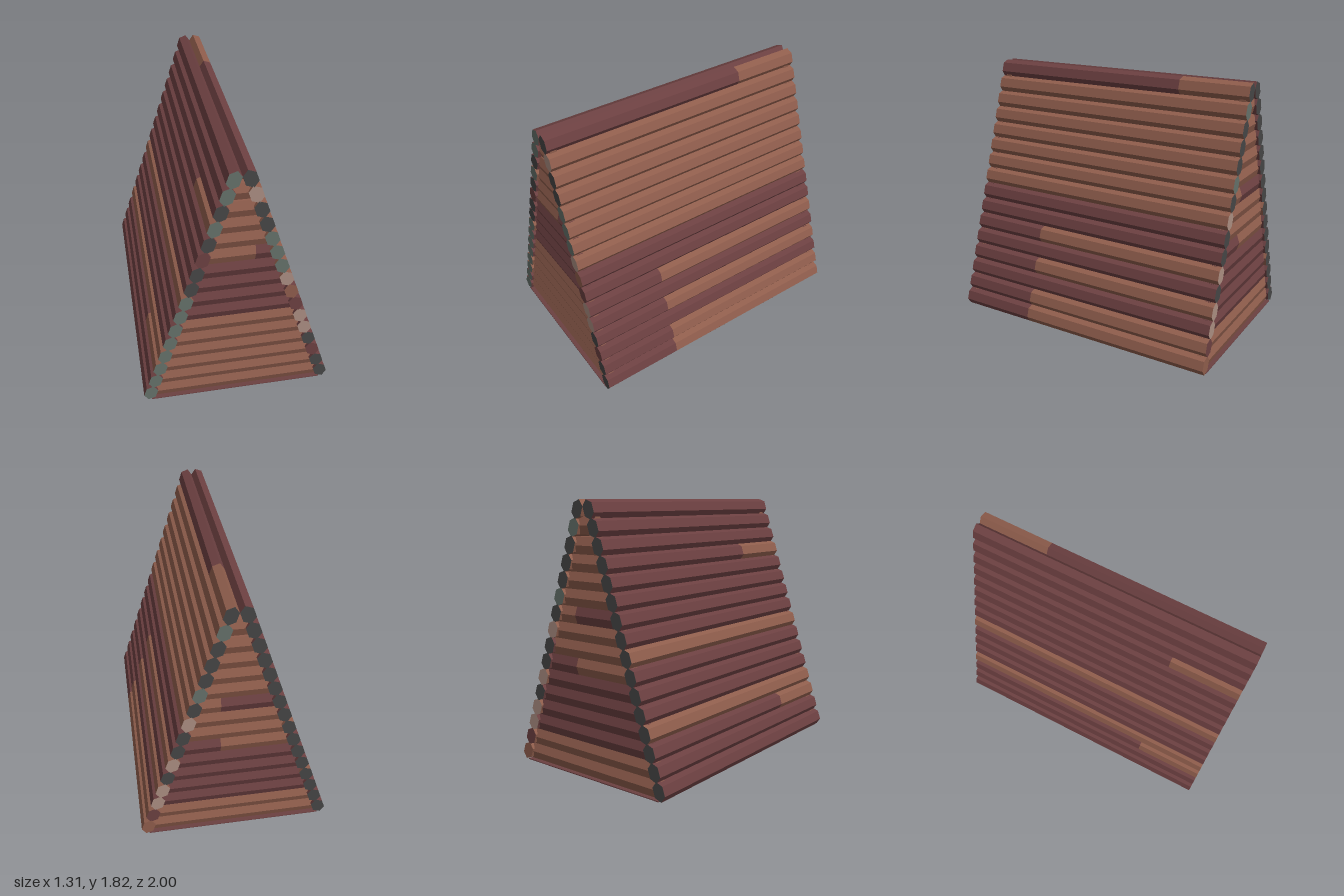
import * as THREE from 'three';

const mat = (name, color) => {
  const m = new THREE.MeshStandardMaterial({ color, flatShading: true });
  m.name = name;
  return m;
};

export function createModel() {
  const brown = mat('brown bark', 0x8f5d4c);
  const maroon = mat('maroon bark', 0x6c4041);
  const green = mat('grey green log end', 0x65716a);
  const charcoal = mat('charcoal log end', 0x464646);
  const pink = mat('pale log end', 0xab8e82);
  const palette = { b: brown, m: maroon, g: green, c: charcoal, p: pink };

  const ROWS = 16, PITCH = 0.113, Y0 = 0.065, X0 = 0.603, STEP = 0.0369;
  const TILT = Math.atan2(STEP, PITCH);
  const model = new THREE.Group();
  model.name = 'logTent';

  // One straight piece of six-sided roof log between two z positions
  function roofLog(side, row, zBack, zFront, bark, frontEnd, backEnd) {
    const geo = new THREE.CylinderGeometry(1, 1, zFront - zBack, 6);
    geo.rotateX(Math.PI / 2);
    geo.scale(0.0415 / 0.866, 0.065, 1);
    geo.rotateZ(side * TILT);
    const mesh = new THREE.Mesh(geo, [bark, frontEnd, backEnd]);
    mesh.position.set(side * (X0 - STEP * row), Y0 + PITCH * row, (zFront + zBack) / 2);
    mesh.name = side > 0 ? 'leftRoofLog' : 'rightRoofLog';
    model.add(mesh);
  }

  // One letter per row, bottom to top: bark at the front and back, then end colours
  const roofs = [
    {
      side: 1, front: 'mmmmmmmmbbbbbbbm', back: 'bbmbmbmmbbbbbbbb',
      frontEnds: 'ccmcppmbpgggccpc', backEnds: 'bmppcpccpcgcccgc',
      split: (row) => (row === 15 ? -0.5 : 0.42),
    },
    {
      side: -1, front: 'mmbbmmmbmmmmbmmm', back: 'mmmbmmmbmmmmmmmm',
      frontEnds: 'ggggggggccmcgcgg', backEnds: 'cccccccccccccccc',
      split: () => 0.5,
    },
  ];
  for (const r of roofs) {
    for (let i = 0; i < ROWS; i++) {
      const f = palette[r.front[i]], b = palette[r.back[i]];
      const fe = palette[r.frontEnds[i]], be = palette[r.backEnds[i]];
      if (f === b) {
        roofLog(r.side, i, -1, 1, f, fe, be);
      } else {
        const z = r.split(i);
        roofLog(r.side, i, z, 1, f, fe, f);
        roofLog(r.side, i, -1, z, b, b, be);
      }
    }
  }

  // Horizontal end-wall log between two x positions
  function wallLog(name, y, z, xa, xb, bark) {
    const geo = new THREE.CylinderGeometry(1, 1, xb - xa, 6);
    geo.rotateZ(-Math.PI / 2);
    geo.scale(1, 0.0575 / 0.866, 0.04);
    const mesh = new THREE.Mesh(geo, bark);
    mesh.position.set((xa + xb) / 2, y, z);
    mesh.name = name;
    model.add(mesh);
  }

  // Each row: colour on the -x part, colour on the +x part, changing at x = split
  const walls = [
    { name: 'frontWallLog', z: 0.95, neg: 'bbbbbbmmmmbbbbb', pos: 'bbbbbbmmmmmbbbb', split: 0.1 },
    { name: 'backWallLog', z: -0.95, neg: 'bbmmmmbbbmbbbbb', pos: 'bbmmmmmbbbbbbbb', split: 0.1 },
  ];
  for (const w of walls) {
    for (let i = 0; i < ROWS - 1; i++) {
      const half = X0 - STEP * i - 0.004;
      const y = Y0 + PITCH * i + (i === 14 ? 0.013 : 0);
      const n = palette[w.neg[i]], p = palette[w.pos[i]];
      if (n === p) {
        wallLog(w.name, y, w.z, -half, half, n);
      } else {
        wallLog(w.name, y, w.z, -half, w.split, n);
        wallLog(w.name, y, w.z, w.split, half, p);
      }
    }
  }

  // Floor panel
  const floor = new THREE.Mesh(new THREE.BoxGeometry(1.2, 0.006, 2), maroon);
  floor.position.y = 0.003;
  floor.name = 'floor';
  model.add(floor);

  return model;
}
